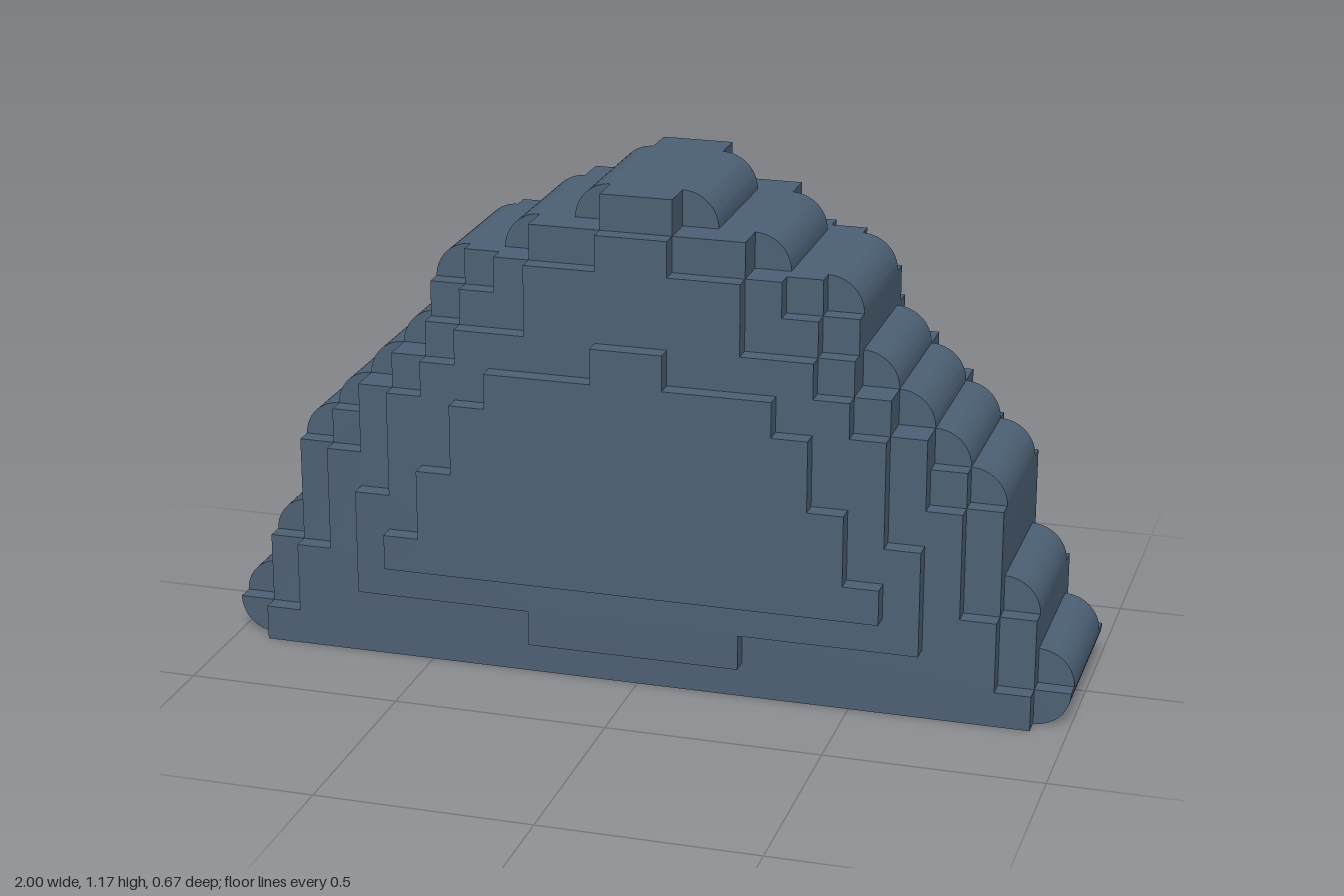
import * as THREE from 'three';
import { toCreasedNormals } from 'three/addons/utils/BufferGeometryUtils.js';

const U = 1 / 12; // one step of the stepped mound
const material = new THREE.MeshStandardMaterial({ color: 0x4c6074 });

// Stepped, mirrored outline. rows: [top, halfWidth] from the bottom up.
// roundTop / roundBase swap the square corners for quarter circles of one step.
function steppedShape(base, rows, roundTop, roundBase) {
  const s = new THREE.Shape();
  const last = rows.length - 1;
  const w0 = rows[0][1];
  if (roundBase) {
    s.moveTo(-w0 + 1, base);
    s.lineTo(w0 - 1, base);
    s.absarc(w0 - 1, base + 1, 1, -Math.PI / 2, 0, false);
  } else {
    s.moveTo(-w0, base);
    s.lineTo(w0, base);
  }
  // up the left flank
  rows.forEach(([top, w], i) => {
    if (i > 0) s.lineTo(w, rows[i - 1][0]);
    if (roundTop) {
      s.lineTo(w, top - 1);
      s.absarc(w - 1, top - 1, 1, 0, Math.PI / 2, false);
    } else s.lineTo(w, top);
  });
  // down the right flank
  for (let i = last; i >= 0; i--) {
    const [top, w] = rows[i];
    if (roundTop) {
      s.lineTo(-w + 1, top);
      s.absarc(-w + 1, top - 1, 1, Math.PI / 2, Math.PI, false);
    } else s.lineTo(-w, top);
    if (i > 0) s.lineTo(-w, rows[i - 1][0]);
  }
  if (roundBase) s.absarc(-w0 + 1, base + 1, 1, Math.PI, Math.PI * 1.5, false);
  return s;
}

function layer(name, halfDepth, base, rows, roundTop = false, roundBase = false) {
  const geo = new THREE.ExtrudeGeometry(steppedShape(base, rows, roundTop, roundBase), {
    depth: halfDepth * 2, bevelEnabled: false, curveSegments: 10,
  });
  geo.translate(0, 0, -halfDepth);
  geo.scale(U, U, U);
  const mesh = new THREE.Mesh(toCreasedNormals(geo, 0.6), material);
  mesh.name = name;
  return mesh;
}

export function createModel() {
  const group = new THREE.Group();
  group.name = 'steppedMound';
  group.add(
    // rounded steps running through the middle
    layer('roundedCore', 2, 0,
      [[2, 12], [4, 11], [7, 10], [8, 9], [9, 8], [10, 7], [12, 6], [13, 4], [14, 2]], true, true),
    // square-cornered layers, each thicker and smaller than the last
    layer('innerLayer', 2.5, 0,
      [[1, 12], [3, 11], [6, 10], [7, 9], [8, 8], [9, 7], [11, 6], [12, 5], [13, 3], [14, 1]], false, true),
    layer('middleLayer', 3, 0,
      [[1, 11], [3, 10], [6, 9], [8, 8], [9, 7], [10, 6], [11, 5], [12, 4], [13, 3], [14, 1]]),
    layer('outerLayer', 3.5, 1,
      [[2, 3], [5, 8], [8, 7], [9, 6], [10, 5], [12, 3], [13, 1]]),
    layer('facePlate', 4, 3,
      [[4, 7], [6, 6], [8, 5], [9, 4], [10, 1]]),
  );
  return group;
}
